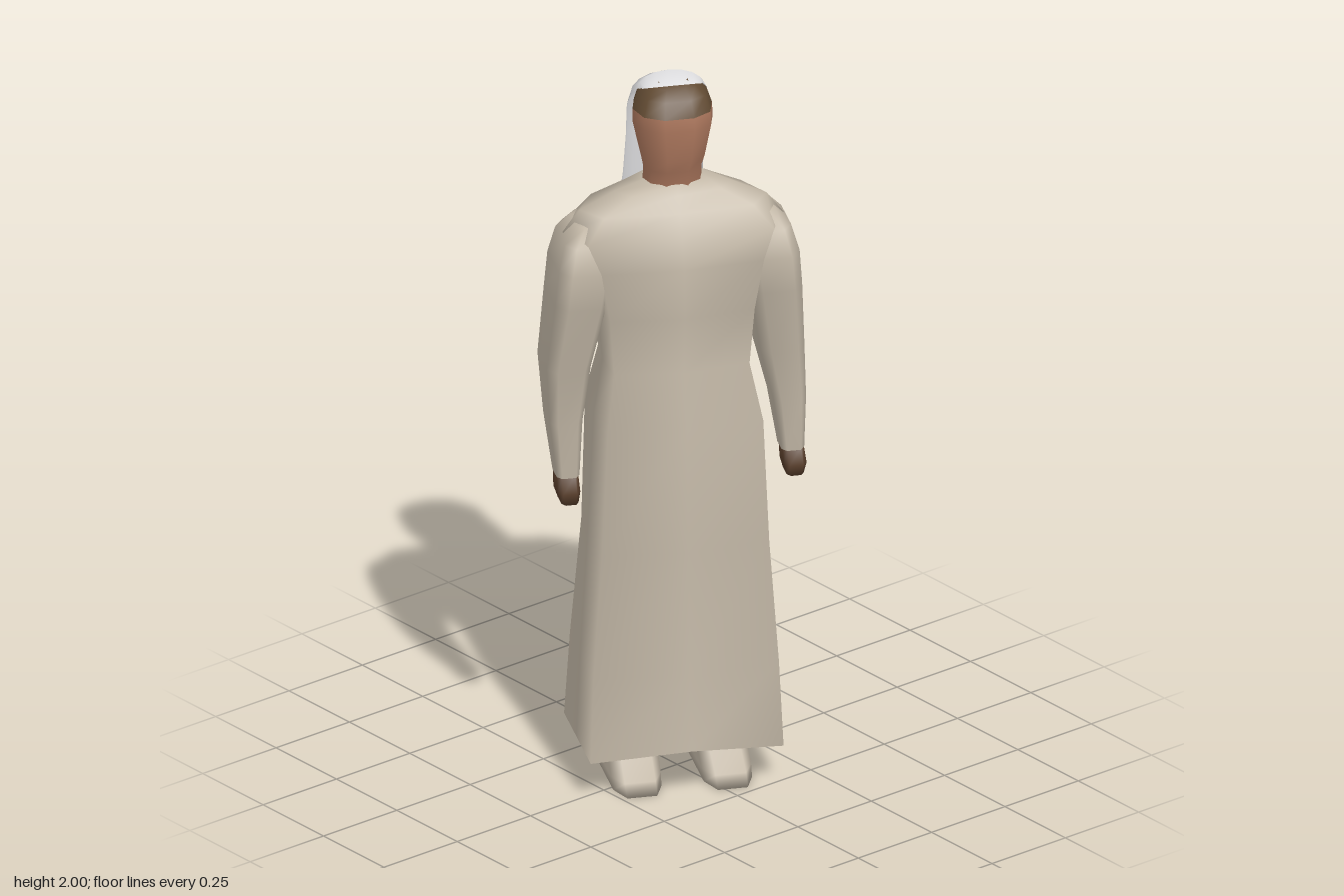
import * as THREE from 'three';

const material = (name, color, side = THREE.FrontSide) => {
  const m = new THREE.MeshStandardMaterial({ color, side });
  m.name = name;
  return m;
};

// Skin a stack of rings (bottom to top), each a list of [x, y, z] running front, left, back, right.
function loft(rings, { closed = true, capBottom = false, capTop = false } = {}) {
  const n = rings[0].length, pos = rings.flat(2), index = [];
  for (let i = 0; i < rings.length - 1; i++) {
    for (let j = 0; j < (closed ? n : n - 1); j++) {
      const k = (j + 1) % n;
      const a = i * n + j, b = i * n + k, c = a + n, d = b + n;
      index.push(a, b, d, a, d, c);
    }
  }
  const cap = (row, up) => {
    const ring = rings[row], centre = pos.length / 3;
    for (let c = 0; c < 3; c++) pos.push(ring.reduce((s, p) => s + p[c], 0) / n);
    for (let j = 0; j < n; j++) {
      const a = row * n + j, b = row * n + (j + 1) % n;
      index.push(centre, up ? a : b, up ? b : a);
    }
  };
  if (capBottom) cap(0, false);
  if (capTop) cap(rings.length - 1, true);
  const g = new THREE.BufferGeometry();
  g.setAttribute('position', new THREE.Float32BufferAttribute(pos, 3));
  g.setIndex(index);
  g.computeVertexNormals();
  return g;
}

// Rounded section; power below 1 makes it boxier.
function section(cx, y, cz, rx, rz, n = 8, power = 0.55) {
  const soft = v => Math.sign(v) * Math.pow(Math.abs(v), power);
  return Array.from({ length: n }, (_, j) => {
    const t = (j + 0.5) / n * Math.PI * 2;
    return [cx + rx * soft(Math.sin(t)), y, cz + rz * soft(Math.cos(t))];
  });
}

export function createModel() {
  const robeMat = material('robe beige', 0xc2b7a6);
  const skinMat = material('skin brown', 0xac775d);
  const hairMat = material('hair brown', 0x624b33);
  const handMat = material('hand dark brown', 0x573d2a);
  const clothMat = material('headcloth white', 0xe4e4e6, THREE.DoubleSide);

  const model = new THREE.Group();
  model.name = 'robedFigure';
  const body = new THREE.Group();
  body.name = 'body';
  body.rotation.y = -0.47;
  body.position.set(-0.01, 0, -0.005);
  model.add(body);
  const add = (name, geometry, mat) => {
    const mesh = new THREE.Mesh(geometry, mat);
    mesh.name = name;
    body.add(mesh);
  };

  // Robe with sloping shoulders: y, half width, corner inset, front corner, front middle, back corner, back middle
  const robe = [
    [0.108, 0.26, 1, 0.172, 0.232, 0.152, 0.19],
    [0.35, 0.25, 1, 0.16, 0.208, 0.127, 0.158],
    [0.7, 0.23, 0.98, 0.153, 0.185, 0.098, 0.125],
    [1.05, 0.214, 0.98, 0.152, 0.172, 0.125, 0.148],
    [1.2, 0.19, 0.96, 0.108, 0.135, 0.09, 0.102],
    [1.36, 0.205, 0.95, 0.115, 0.145, 0.095, 0.115],
    [1.5, 0.235, 0.93, 0.12, 0.138, 0.112, 0.135],
    [1.58, 0.298, 0.84, 0.1, 0.113, 0.108, 0.132],
    [1.64, 0.252, 0.8, 0.07, 0.085, 0.09, 0.112],
    [1.685, 0.16, 0.75, 0.045, 0.065, 0.065, 0.09],
    [1.712, 0.08, 0.8, 0.04, 0.055, 0.06, 0.075],
  ];
  const robeRings = robe.map(([y, a, k, f, fm, b, bm], i) => [
    [0, i ? y : 0.145, fm], [a * k, y, f], [a, y, 0], [a * k, y, -b],
    [0, i ? y : 0.125, -bm], [-a * k, y, -b], [-a, y, 0], [-a * k, y, f],
  ]);
  add('robe', loft(robeRings, { capTop: true }), robeMat);
  const innerHem = robeRings[0].map(([x, , z]) => [x * 0.2, 0.14, z * 0.2]);
  add('robeUnderside', loft([innerHem, robeRings[0]], { capBottom: true }), robeMat);

  // Arms, hands, legs: centre x, y, centre z, half width, half depth
  const sleeve = [
    [0.318, 0.9, -0.003, 0.032, 0.044], [0.309, 1.05, -0.015, 0.046, 0.069],
    [0.288, 1.2, -0.025, 0.062, 0.097], [0.262, 1.4, 0, 0.074, 0.118],
    [0.25, 1.5, 0.006, 0.078, 0.118], [0.24, 1.57, 0, 0.068, 0.1],
    [0.22, 1.61, -0.008, 0.05, 0.065],
  ];
  const hand = [
    [0.322, 0.83, 0.01, 0.024, 0.038], [0.322, 0.86, 0.008, 0.032, 0.044],
    [0.319, 0.905, -0.003, 0.03, 0.041],
  ];
  const leg = [
    [0.122, 0, 0.02, 0.068, 0.165], [0.122, 0.03, 0.01, 0.07, 0.148],
    [0.12, 0.08, -0.018, 0.07, 0.112], [0.115, 0.16, -0.035, 0.07, 0.088],
  ];
  for (const [side, s] of [['left', 1], ['right', -1]]) {
    const limb = rows => rows.map(([x, ...rest]) => section(s * x, ...rest));
    // the right forearm hangs lower and closer to the body
    const arm = rows => limb(rows.map(([x, y, ...rest]) => {
      const drop = s < 0 ? Math.max(0, 1.2 - y) / 0.3 : 0;
      return [x - 0.03 * drop, y - 0.02 * drop, ...rest];
    }));
    add(side + 'Sleeve', loft(arm(sleeve), { capTop: true }), robeMat);
    add(side + 'Hand', loft(arm(hand), { capBottom: true, capTop: true }), handMat);
    add(side + 'LegAndFoot', loft(limb(leg), { capBottom: true }), robeMat);
  }

  // Head
  const headRing = ([y, r, front, back]) => section(0, y, (front + back) / 2, r, (front - back) / 2, 10, 0.85);
  add('face', loft([
    [1.69, 0.08, 0.05, -0.075], [1.75, 0.079, 0.062, -0.078], [1.79, 0.088, 0.083, -0.085],
    [1.88, 0.108, 0.092, -0.1], [1.915, 0.107, 0.087, -0.108],
  ].map(headRing)), skinMat);
  add('hair', loft([
    [1.915, 0.107, 0.087, -0.108], [1.957, 0.093, 0.068, -0.1], [1.98, 0.068, 0.038, -0.085],
    [1.99, 0.045, 0.015, -0.06],
  ].map(headRing), { capTop: true }), hairMat);

  // Headcloth: y of middle, y of sides, half width, z of sides, z of middle; hem first
  const cloth = [
    [1.565, 1.585, 0.112, -0.157, -0.172], [1.68, 1.68, 0.108, -0.122, -0.157],
    [1.8, 1.8, 0.107, -0.092, -0.143], [1.91, 1.9, 0.109, -0.07, -0.125],
    [1.975, 1.94, 0.102, -0.048, -0.1], [2, 1.962, 0.087, -0.032, -0.05],
    [1.99, 1.965, 0.082, -0.02, 0.03],
  ];
  add('headcloth', loft(cloth.map(([ym, ys, w, zs, zm]) =>
    Array.from({ length: 9 }, (_, j) => {
      const t = (j / 8 - 0.5) * Math.PI, c = Math.cos(t);
      return [-w * Math.sin(t), ys + (ym - ys) * c, zs + (zm - zs) * c];
    })), { closed: false }), clothMat);

  return model;
}
